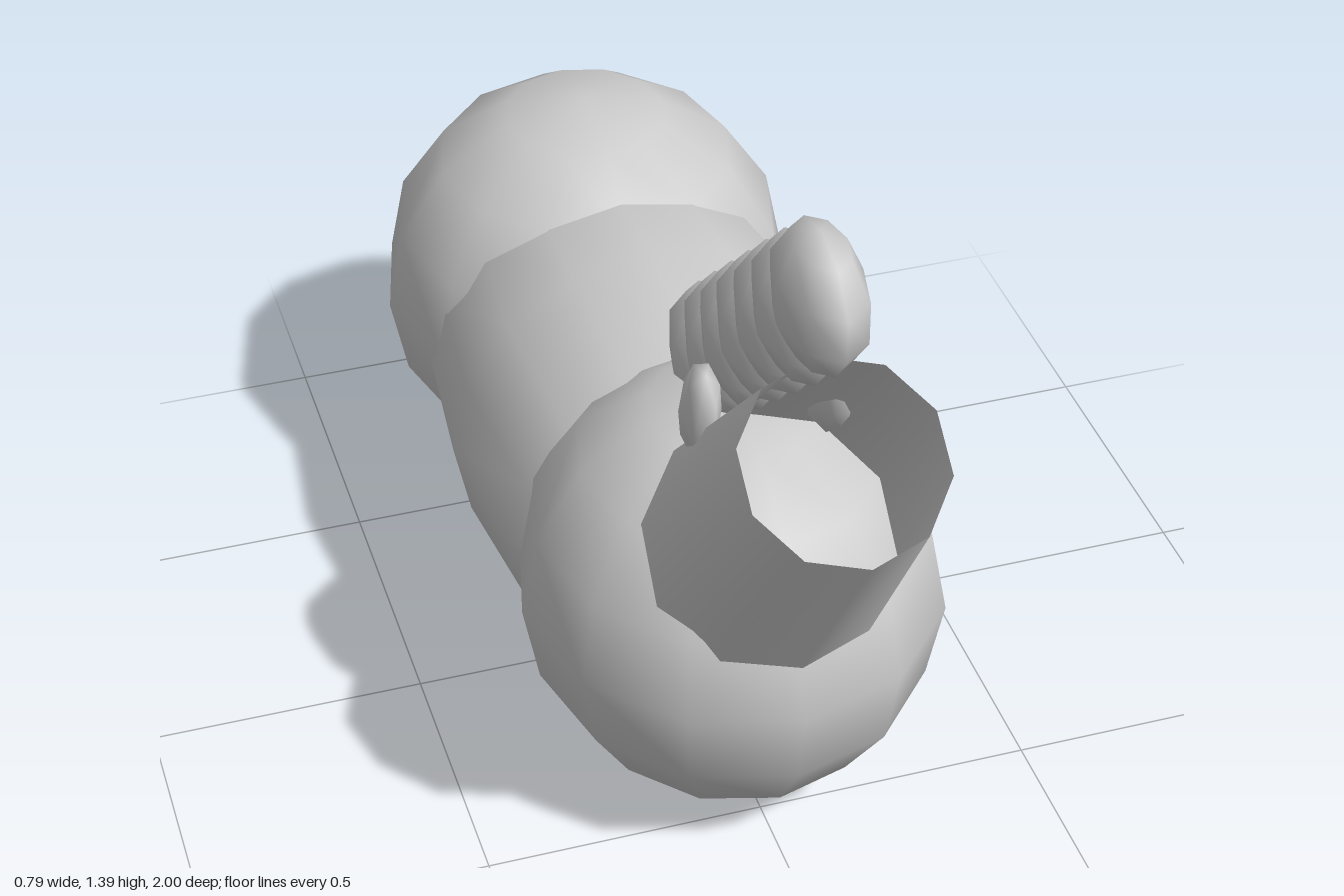
import * as THREE from 'three';

const material = new THREE.MeshStandardMaterial({ color: 0xcccccc, side: THREE.DoubleSide });

// Faceted ellipsoid with smooth normals
function ellipsoid(name, radii, position, widthSegments, heightSegments) {
  const mesh = new THREE.Mesh(new THREE.SphereGeometry(1, widthSegments, heightSegments), material);
  mesh.name = name;
  mesh.scale.set(...radii);
  mesh.position.set(...position);
  return mesh;
}

export function createModel() {
  const model = new THREE.Group();
  model.name = 'animalBody';

  // Chest and hindquarters
  model.add(ellipsoid('chest', [0.378, 0.397, 0.412], [0, 0.398, 0.312], 12, 8));
  model.add(ellipsoid('hindquarters', [0.395, 0.397, 0.41], [0, 0.441, -0.59], 12, 8));

  // Barrel, a long ellipsoid with its poles along the body
  const barrel = ellipsoid('barrel', [0.38, 0.76, 0.367], [0, 0.403, -0.16], 16, 8);
  barrel.rotation.x = Math.PI / 2;
  model.add(barrel);

  // Open tapered neck leaning forward
  const tilt = THREE.MathUtils.degToRad(39);
  const length = 0.7;
  const neck = new THREE.Mesh(
    new THREE.CylinderGeometry(0.171, 0.237, length, 10, 1, true), material);
  neck.name = 'neck';
  neck.rotation.x = tilt;
  neck.position.set(0, 1.055 - Math.cos(tilt) * length / 2, 0.867 - Math.sin(tilt) * length / 2);
  model.add(neck);

  // Mane, a row of flattened beads down the back of the neck
  const mane = new THREE.Group();
  mane.name = 'mane';
  const count = 7;
  for (let i = 0; i < count; i++) {
    const t = i / (count - 1);
    mane.add(ellipsoid('maneBead', [0.073, 0.12, 0.136],
      [0, THREE.MathUtils.lerp(1.273, 0.8, t), THREE.MathUtils.lerp(0.73, 0.205, t)], 8, 5));
  }
  model.add(mane);

  // Small flat ears, mirrored
  for (const side of [1, -1]) {
    const ear = ellipsoid(side > 0 ? 'leftEar' : 'rightEar',
      [0.036, 0.1, 0.07], [side * 0.11, 0.9, 0.48], 6, 4);
    ear.rotation.set(0.35, side * 0.15, 0);
    model.add(ear);
  }

  return model;
}
